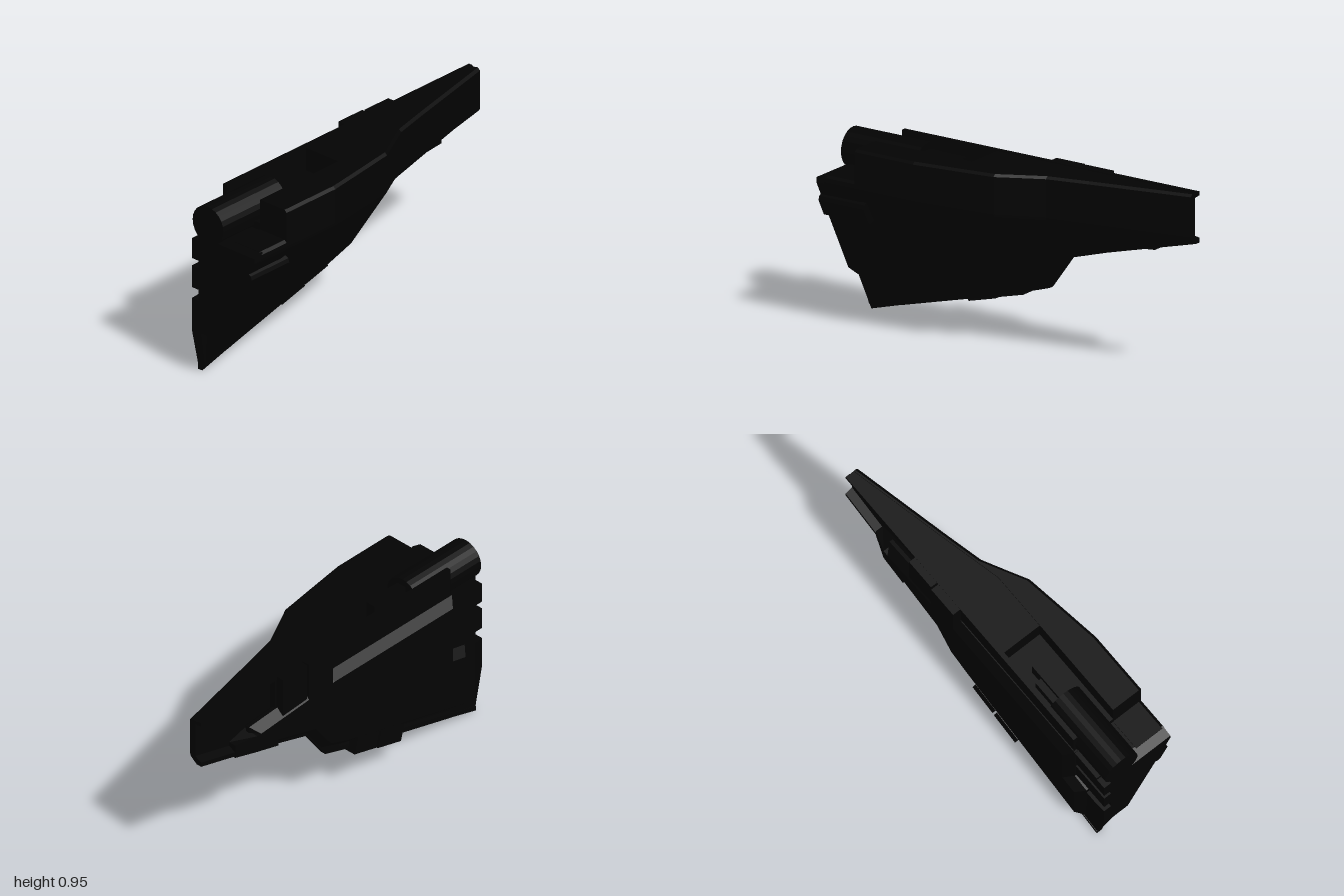
import * as THREE from 'three';

const hullBlack = new THREE.MeshStandardMaterial({ color: 0x030303 });
hullBlack.name = 'hull black';
hullBlack.flatShading = true;

// Skin through cross-sections [x, [[z, y], ...]], capped at both ends
function loft(sections) {
  const pos = [];
  const put = (s, j) => {
    const p = s[1][j % s[1].length];
    pos.push(s[0], p[1], p[0]);
  };
  for (let i = 0; i < sections.length - 1; i++) {
    const a = sections[i], b = sections[i + 1];
    for (let j = 0; j < a[1].length; j++) {
      put(a, j); put(b, j); put(a, j + 1);
      put(b, j); put(b, j + 1); put(a, j + 1);
    }
  }
  const cap = (s, flip) => {
    const contour = s[1].map(p => new THREE.Vector2(p[0], p[1]));
    for (const f of THREE.ShapeUtils.triangulateShape(contour, [])) {
      (flip ? [f[0], f[2], f[1]] : f).forEach(j => put(s, j));
    }
  };
  cap(sections[0], false);
  cap(sections[sections.length - 1], true);
  const g = new THREE.BufferGeometry();
  g.setAttribute('position', new THREE.Float32BufferAttribute(pos, 3));
  g.computeVertexNormals();
  return g;
}

// Hull section: bottom, front face, shoulder, roof, trench floor, back web
function hullSection(x, bottom, front, shoulder, top, floor, web) {
  const inner = Math.min(0.06, front - 0.025);
  return [x, [
    [-0.19, bottom], [-0.16, bottom], [front - 0.005, shoulder], [front, shoulder + 0.015],
    [front, top - 0.012], [front - 0.015, top],
    [inner, top], [inner, floor], [-0.165, floor], [-0.165, top],
    [-0.19, top], [-0.19, top - 0.02], [web, top - 0.025], [web, bottom + 0.045], [-0.19, bottom + 0.025],
  ]];
}

export function createModel() {
  const model = new THREE.Group();
  const add = (name, geometry, x = 0, y = 0, z = 0) => {
    const m = new THREE.Mesh(geometry, hullBlack);
    m.name = name;
    m.position.set(x, y, z);
    model.add(m);
    return m;
  };
  const box = (name, x0, x1, y0, y1, z0, z1) =>
    add(name, new THREE.BoxGeometry(x1 - x0, y1 - y0, z1 - z0), (x0 + x1) / 2, (y0 + y1) / 2, (z0 + z1) / 2);

  // Tapering main hull with a trench in the roof
  add('hull', loft([
    hullSection(-0.95, 0, 0.238, 0.735, 0.785, 0.78, -0.14),
    hullSection(-0.78, 0.048, 0.238, 0.735, 0.785, 0.78, -0.14),
    hullSection(-0.78, 0.048, 0.238, 0.735, 0.785, 0.78, -0.185),
    hullSection(-0.77, 0.05, 0.238, 0.735, 0.785, 0.78, -0.185),
    hullSection(-0.77, 0.05, 0.238, 0.735, 0.95, 0.82, -0.185),
    hullSection(-0.42, 0.142, 0.238, 0.735, 0.95, 0.82, -0.185),
    hullSection(-0.2, 0.2, 0.207, 0.732, 0.95, 0.82, -0.185),
    hullSection(-0.2, 0.2, 0.207, 0.732, 0.95, 0.945, -0.185),
    hullSection(0.02, 0.268, 0.175, 0.73, 0.95, 0.945, -0.185),
    hullSection(0.12, 0.3, 0.122, 0.728, 0.95, 0.945, -0.185),
    hullSection(0.25, 0.48, 0.055, 0.725, 0.95, 0.945, -0.185),
    hullSection(0.47, 0.546, 0.003, 0.722, 0.95, 0.945, -0.185),
    hullSection(0.47, 0.546, 0.003, 0.722, 0.95, 0.945, -0.15),
    hullSection(1, 0.687, -0.115, 0.718, 0.95, 0.945, -0.15),
  ]));

  // End block past the hull, following the same front slope
  const endSection = (x, bottom, top) =>
    [x, [[-0.14, bottom], [-0.16 + 0.534 * bottom, bottom], [0.235, 0.74], [0.235, top], [-0.14, top]]];
  add('endBlock', loft([endSection(-1, 0.235, 0.768), endSection(-0.94, 0.195, 0.785)]));

  // Barrel lying in the trench, with its narrow neck
  const barrel = add('barrel', new THREE.CylinderGeometry(0.103, 0.103, 0.45, 24), -0.775, 0.846, -0.075);
  barrel.rotation.z = Math.PI / 2;
  box('barrelNeck', -0.56, -0.33, 0.8, 0.91, -0.095, -0.04);
  box('barrelCradle', -0.58, -0.4, 0.8, 0.88, -0.13, -0.01);

  // Raised back plate with a bevelled rim, stepped around the end recess
  const plate = new THREE.Shape([
    [-0.83, 0.13], [0.0, 0.345], [0.125, 0.39], [0.235, 0.535], [0.62, 0.645], [0.62, 0.71],
    [0.1, 0.75], [-0.74, 0.75], [-0.74, 0.43], [-0.83, 0.41],
  ].map(p => new THREE.Vector2(p[0], p[1])));
  add('backPlate', new THREE.ExtrudeGeometry(plate, {
    depth: 0.02, bevelEnabled: true, bevelThickness: 0.045, bevelSize: 0.04, bevelSegments: 1,
  }), 0, 0, -0.19);

  // Tapered wedge where the plate meets the narrow arm
  add('plateWedge', loft([
    [0.5, [[-0.235, 0.575], [-0.15, 0.565], [-0.15, 0.72], [-0.235, 0.71]]],
    [0.65, [[-0.235, 0.615], [-0.15, 0.605], [-0.15, 0.72], [-0.235, 0.71]]],
    [0.76, [[-0.192, 0.615], [-0.15, 0.615], [-0.15, 0.69], [-0.192, 0.69]]],
  ]));

  // Upper back boxes
  box('upperBackBox', 0.29, 0.46, 0.68, 0.948, -0.228, -0.17);
  box('upperBackBox', 0.11, 0.28, 0.66, 0.948, -0.235, -0.17);

  // Boxes along the sloping lower edge
  for (const [x, y, w] of [[-0.3, 0.208, 0.17], [-0.13, 0.258, 0.16]]) {
    const b = add('lowerEdgeBox', new THREE.BoxGeometry(w, 0.09, 0.07), x, y, -0.2);
    b.rotation.z = 0.255;
  }

  // Two blocks in the recess at the wide end, and a closed block below them
  for (const [y0, y1] of [[0.63, 0.74], [0.47, 0.59]]) {
    box('endRecessBlock', -1, -0.77, y0, y1, -0.183, -0.12);
  }
  add('endLowerBlock', loft([
    [-1, [[-0.183, 0.235], [-0.12, 0.235], [-0.12, 0.41], [-0.183, 0.41]]],
    [-0.95, [[-0.188, 0.03], [-0.14, 0.03], [-0.12, 0.41], [-0.188, 0.41]]],
    [-0.77, [[-0.188, 0.07], [-0.14, 0.07], [-0.12, 0.41], [-0.188, 0.41]]],
  ]));

  // Pod with trimmed corners on the front slope
  const pod = add('slopePod', loft([-1, -0.73].map(x => [x, [
    [-0.03, -0.06], [0.018, -0.06], [0.03, -0.045], [0.03, 0.05], [0.015, 0.065], [-0.03, 0.065],
  ]])), 0, 0.615, 0.168);
  pod.rotation.x = 0.49;

  return model;
}
